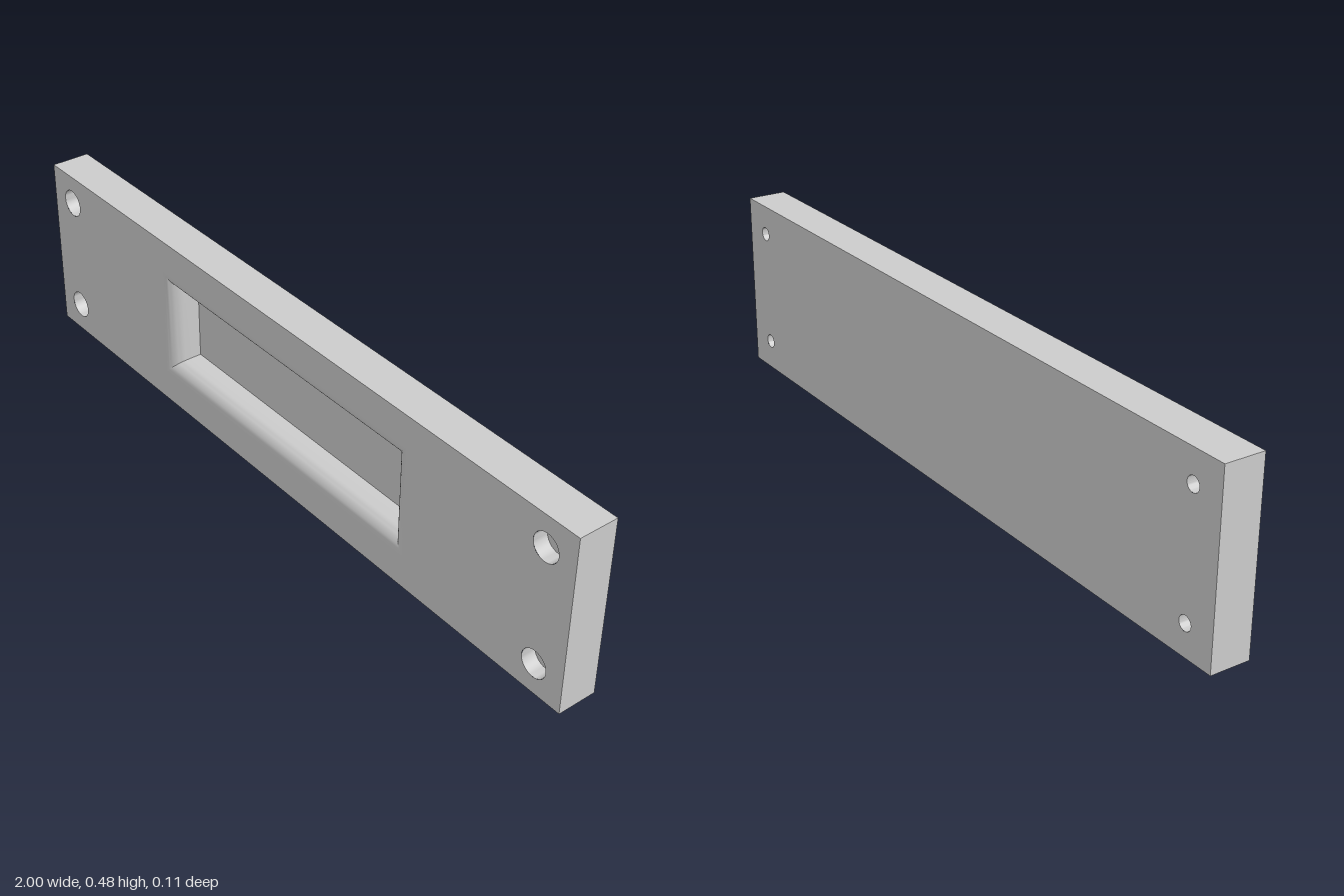
import * as THREE from 'three';
import { toCreasedNormals } from 'three/addons/utils/BufferGeometryUtils.js';

const W = 2, H = 0.484, ZF = 0.053;                 // plate width, height, half depth
const POCKET = { x: 0.438, y0: 0.13, y1: 0.355, floor: -0.027, r: 0.04 };
const BORE = { x: 0.913, ys: [0.081, 0.403], outer: 0.037, inner: 0.019, shelf: 0.013 };

// Four corners of a rectangle, counter-clockwise seen from the front
const rect = (x, y0, y1, z) => [[-x, y0, z], [x, y0, z], [x, y1, z], [-x, y1, z]];

// Walls between successive rectangles; front to back they face inward
function loft(loops) {
  const pos = [];
  for (let k = 0; k + 1 < loops.length; k++) {
    const a = loops[k], b = loops[k + 1];
    for (let i = 0; i < 4; i++) {
      const j = (i + 1) % 4;
      pos.push(...a[i], ...a[j], ...b[j], ...a[i], ...b[j], ...b[i]);
    }
  }
  const g = new THREE.BufferGeometry();
  g.setAttribute('position', new THREE.Float32BufferAttribute(pos, 3));
  return toCreasedNormals(g, Math.PI / 6);
}

const toPath = (Type, corners) => new Type(corners.map(([x, y]) => new THREE.Vector2(x, y)));

// Flat face of the plate with four round holes
function faceShape(radius) {
  const s = toPath(THREE.Shape, rect(W / 2, 0, H, 0));
  for (const x of [-BORE.x, BORE.x]) for (const y of BORE.ys) {
    s.holes.push(new THREE.Path().absarc(x, y, radius, 0, Math.PI * 2, true));
  }
  return s;
}

export function createModel() {
  const group = new THREE.Group();
  const material = new THREE.MeshStandardMaterial({ color: 0xcccccc });
  const add = (name, geometry) => {
    const m = new THREE.Mesh(geometry, material);
    m.name = name;
    group.add(m);
    return m;
  };
  const { x, y0, y1, floor, r } = POCKET;

  // Plate: front with pocket opening, back, and outer edges
  const front = faceShape(BORE.outer);
  front.holes.push(toPath(THREE.Path, rect(x + r, y0 - r, y1 + r, 0).reverse()));
  add('plateFront', new THREE.ShapeGeometry(front, 32).translate(0, 0, ZF));
  add('plateBack', new THREE.ShapeGeometry(faceShape(BORE.inner), 32)
    .rotateY(Math.PI).translate(0, 0, -ZF));
  add('plateEdges', loft([rect(W / 2, 0, H, -ZF), rect(W / 2, 0, H, ZF)]));

  // Pocket: rounded lip rolling into straight walls, mitred at the corners
  const loops = [];
  for (let i = 0; i <= 10; i++) {
    const t = (i / 10) * Math.PI / 2;
    const out = r * (1 - Math.sin(t));
    loops.push(rect(x + out, y0 - out, y1 + out, ZF - r * (1 - Math.cos(t))));
  }
  loops.push(rect(x, y0, y1, floor));
  add('pocketWalls', loft(loops));
  add('pocketFloor', new THREE.PlaneGeometry(2 * x, y1 - y0).translate(0, (y0 + y1) / 2, floor));

  // Counterbored screw holes
  const profile = [[BORE.outer, ZF], [BORE.outer, BORE.shelf], [BORE.inner, BORE.shelf], [BORE.inner, -ZF]]
    .map(([px, py]) => new THREE.Vector2(px, py));
  const bore = toCreasedNormals(new THREE.LatheGeometry(profile, 32).rotateX(Math.PI / 2), Math.PI / 6);
  for (const bx of [-BORE.x, BORE.x]) for (const by of BORE.ys) {
    add('screwHole', bore).position.set(bx, by, 0);
  }
  return group;
}
